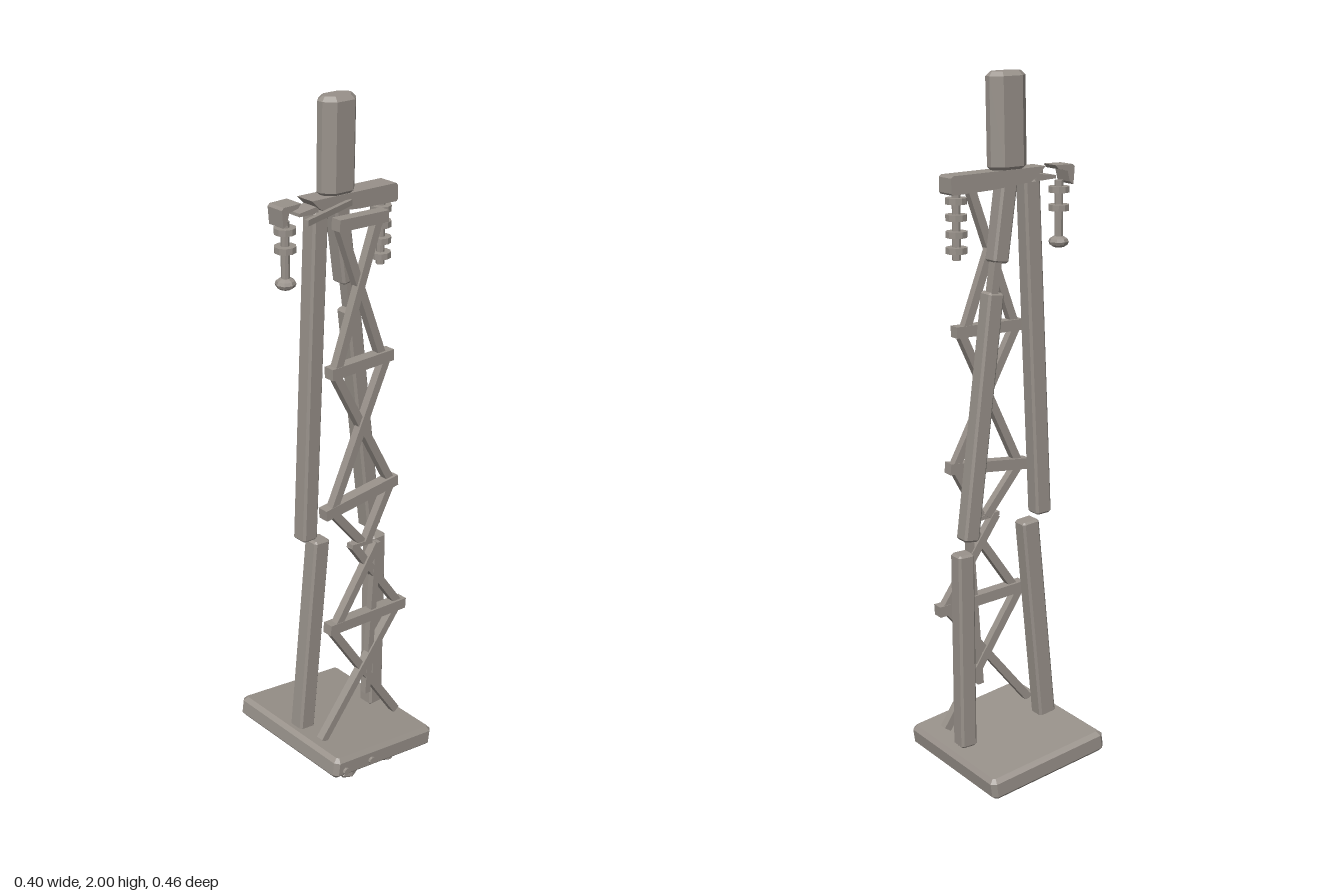
import * as THREE from 'three';

const stone = new THREE.MeshStandardMaterial({ color: 0x98918a, flatShading: true });
stone.name = 'weathered grey';

// Block with chamfered edges, centred on the origin, long side along y
function chamferBox(w, h, d, c, bevel = c) {
  const x = w / 2 - bevel, z = d / 2 - bevel, k = Math.max(c - bevel * 0.5, 0.001);
  const s = new THREE.Shape([
    [-x + k, -z], [x - k, -z], [x, -z + k], [x, z - k],
    [x - k, z], [-x + k, z], [-x, z - k], [-x, -z + k],
  ].map(p => new THREE.Vector2(...p)));
  const g = new THREE.ExtrudeGeometry(s, {
    depth: h - 2 * bevel, bevelEnabled: true, bevelSize: bevel, bevelThickness: bevel, bevelSegments: 1,
  });
  g.translate(0, 0, -(h / 2 - bevel));
  g.rotateX(-Math.PI / 2);
  return g;
}

export function createModel() {
  const root = new THREE.Group();
  root.name = 'brokenPylon';

  const add = (name, geometry, x = 0, y = 0, z = 0, parent = root) => {
    const m = new THREE.Mesh(geometry, stone);
    m.name = name;
    m.position.set(x, y, z);
    parent.add(m);
    return m;
  };

  // Beam between two points in a plane of constant z
  const beam = (name, [ax, ay], [bx, by], w, d, z, c = 0) => {
    const len = Math.hypot(bx - ax, by - ay);
    const g = c ? chamferBox(w, len, d, c) : new THREE.BoxGeometry(w, len, d);
    const m = add(name, g, (ax + bx) / 2, (ay + by) / 2, z);
    m.rotation.z = -Math.atan2(bx - ax, by - ay);
    return m;
  };

  // Outline in x and y, extruded through z
  const slice = (name, points, z0, z1) => {
    const s = new THREE.Shape(points.map(p => new THREE.Vector2(...p)));
    const g = new THREE.ExtrudeGeometry(s, { depth: z1 - z0, bevelEnabled: false });
    return add(name, g, 0, 0, z0);
  };

  // Tilted base slab
  const base = add('baseSlab', chamferBox(0.39, 0.064, 0.448, 0.012), 0, 0.071, -0.005);
  base.rotation.z = -0.145;

  // Studs on the front edge of the base
  for (const [x, y] of [[-0.157, 0.085], [-0.057, 0.075]]) {
    const stud = add('baseStud', new THREE.CylinderGeometry(0.011, 0.011, 0.014, 8), x, y, 0.22);
    stud.rotation.x = Math.PI / 2;
  }

  // Rubble under the base
  for (const [x, y, z, r] of [[-0.105, 0.033, 0.17, 0.035], [-0.1, 0.03, 0.1, 0.025], [0.045, 0.027, 0.17, 0.042]]) {
    add('rubble', new THREE.IcosahedronGeometry(r, 0), x, y, z).scale.set(1, 0.6, 0.7);
  }

  // Main legs, snapped at mid height
  const legs = [
    ['lowerRightLeg', [-0.138, 0.09], [-0.072, 0.735], 0.056],
    ['lowerLeftLeg', [0.142, 0.085], [0.147, 0.675], 0.052],
    ['upperRightLeg', [-0.117, 0.75], [-0.072, 1.71], 0.052],
    ['upperLeftLeg', [0.129, 0.71], [0.044, 1.41], 0.05],
    ['topLeftLeg', [0.03, 1.49], [0.0, 1.71], 0.05],
  ];
  for (const [name, a, b, w] of legs) beam(name, a, b, w, 0.051, -0.001, 0.006);
  beam('legSplinter', [0.054, 1.38], [0.035, 1.52], 0.022, 0.03, -0.008);

  // Front lattice: cross bars
  const zf = 0.097;
  const bars = [
    [[-0.088, 1.695], [0.082, 1.687]],
    [[-0.113, 1.288], [0.108, 1.288]],
    [[-0.135, 0.872], [0.132, 0.897]],
    [[-0.12, 0.495], [0.172, 0.474]],
  ];
  for (const [a, b] of bars) beam('crossBar', a, b, 0.032, 0.033, zf);

  // Front lattice: diagonals
  const diagonals = [
    [[-0.075, 1.69], [0.075, 1.29]], [[0.055, 1.69], [-0.092, 1.29]],
    [[-0.092, 1.28], [0.112, 0.9]], [[0.085, 1.28], [-0.105, 0.88]],
    [[-0.107, 0.875], [0.008, 0.735]], [[0.105, 0.885], [0.022, 0.735]],
    [[-0.025, 0.735], [0.148, 0.485]], [[0.062, 0.715], [-0.092, 0.495]],
    [[-0.105, 0.485], [0.15, 0.1]], [[0.142, 0.475], [-0.145, 0.125]],
  ];
  diagonals.forEach(([a, b], i) => beam('diagonalBrace', a, b, 0.024, 0.024, zf + (i % 2 ? 0.003 : -0.003)));
  beam('hangingBrace', [0.065, 0.715], [0.03, 0.215], 0.02, 0.02, zf);
  beam('snappedEdge', [-0.035, 0.737], [0.04, 0.73], 0.012, 0.024, zf);

  // Crossarm with a broken right end
  slice('crossarm', [[0.19, 1.685], [0.194, 1.69], [0.194, 1.73], [0.188, 1.736], [-0.108, 1.745],
    [-0.085, 1.722], [-0.06, 1.705], [0.06, 1.692]], -0.034, 0.027);
  slice('brokenArm', [[-0.145, 1.709], [-0.08, 1.705], [-0.08, 1.725], [-0.145, 1.718]], -0.03, 0.02);
  slice('armStub', [[-0.2, 1.69], [-0.188, 1.698], [-0.18, 1.728], [-0.15, 1.734], [-0.14, 1.745],
    [-0.198, 1.745], [-0.204, 1.738]], -0.036, 0.022);

  // Loose rod leaning forward from the arm
  const rod = add('looseRod', new THREE.BoxGeometry(0.21, 0.016, 0.012), -0.078, 1.717, 0.058);
  rod.rotation.y = 0.285;

  // Chamfered post on top
  add('topPost', chamferBox(0.115, 0.262, 0.074, 0.026, 0.012), 0.001, 1.869, -0.004).rotation.z = -0.02;

  // Hanging insulators
  const insulator = (name, x, discs, top, bottom) => {
    const g = new THREE.Group();
    g.name = name;
    g.position.set(x, 0, -0.003);
    root.add(g);
    add('insulatorStem', new THREE.CylinderGeometry(0.012, 0.012, top - bottom, 8), 0, (top + bottom) / 2, 0, g);
    for (const y of discs) add('insulatorDisc', new THREE.CylinderGeometry(0.03, 0.03, 0.017, 10), 0, y, 0, g);
    return g;
  };
  insulator('leftInsulator', 0.16, [1.667, 1.623, 1.578, 1.535], 1.7, 1.508);
  const right = insulator('rightInsulator', -0.175, [1.675, 1.625], 1.7, 1.53);
  add('insulatorBulb', new THREE.SphereGeometry(0.029, 8, 6), 0, 1.53, 0, right).scale.y = 0.6;

  return root;
}
